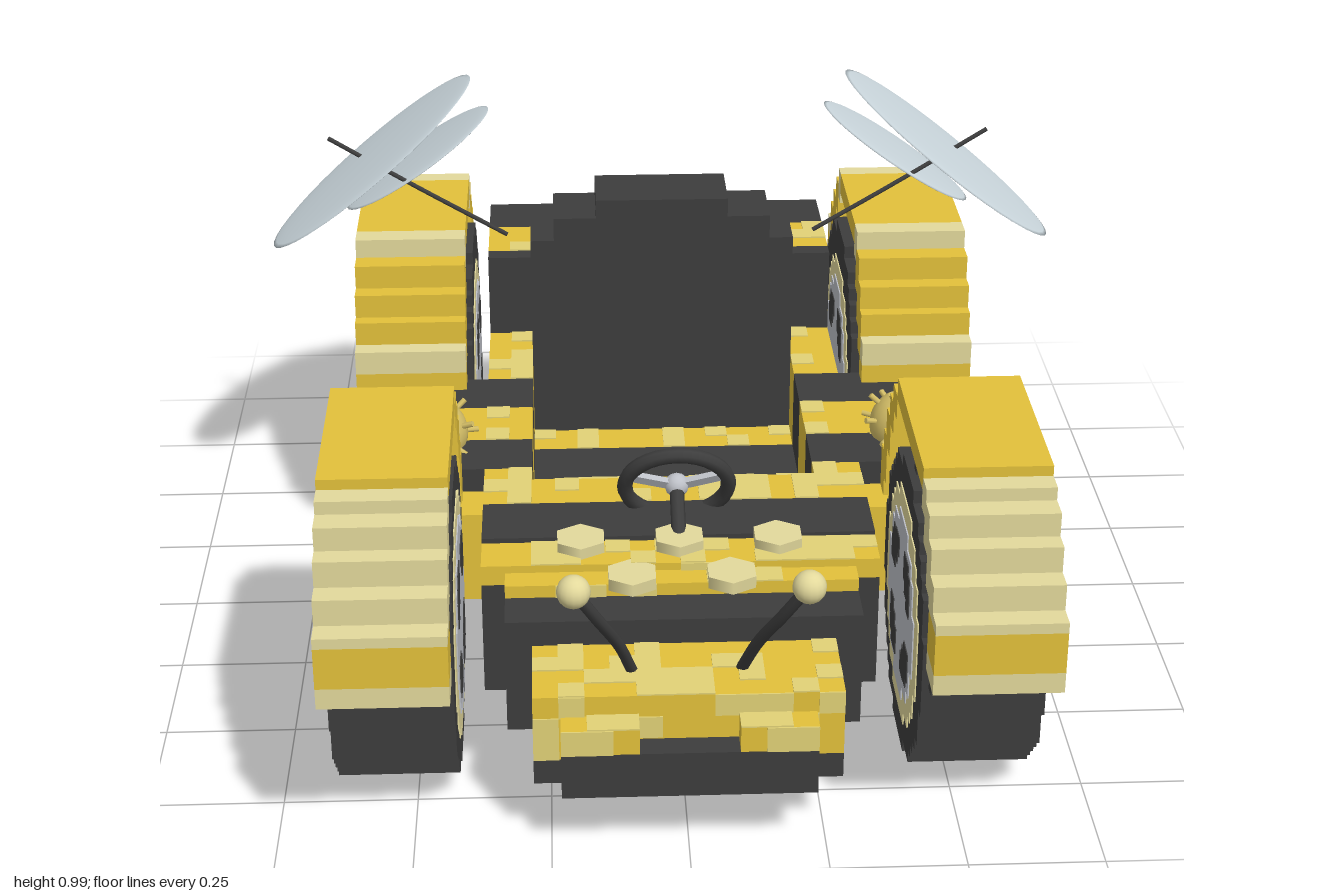
import * as THREE from 'three';
import { mergeGeometries } from 'three/addons/utils/BufferGeometryUtils.js';

const mat = (name, color) => {
  const m = new THREE.MeshStandardMaterial({ color });
  m.name = name;
  return m;
};

export function createModel() {
  const yellow = mat('honey yellow', 0xe3c13b), pale = mat('pale wax yellow', 0xe2d277);
  const cream = mat('cream', 0xe3d99c), black = mat('charcoal', 0x3d3d3d);
  const grey = mat('hub grey', 0xbec1c8), wingMat = mat('wing grey', 0xc9d5db);
  const gold = mat('dull gold', 0xd6c068);
  const root = new THREE.Group();

  const add = (name, geo, m, parent = root) => {
    const mesh = new THREE.Mesh(geo, m);
    mesh.name = name;
    parent.add(mesh);
    return mesh;
  };
  const boxGeo = (x0, x1, y0, y1, z0, z1) =>
    new THREE.BoxGeometry(x1 - x0, y1 - y0, z1 - z0).translate((x0 + x1) / 2, (y0 + y1) / 2, (z0 + z1) / 2);
  const box = (name, m, ...b) => add(name, boxGeo(...b), m);
  const pair = (name, m, x0, x1, ...b) => {
    box(name, m, x0, x1, ...b);
    box(name, m, -x1, -x0, ...b);
  };
  let seed = 7;
  const rnd = () => (seed = (seed * 16807) % 2147483647) / 2147483647;
  // Scattered pale square patches filling a thin plate
  const patches = (x0, x1, y0, y1, z0, z1) => {
    const cells = [], count = d => Math.max(1, Math.round(d / 0.047));
    const nx = count(x1 - x0), ny = count(y1 - y0), nz = count(z1 - z0);
    const dx = (x1 - x0) / nx, dy = (y1 - y0) / ny, dz = (z1 - z0) / nz;
    for (let i = 0; i < nx; i++) for (let j = 0; j < ny; j++) for (let k = 0; k < nz; k++)
      if (rnd() < 0.42) cells.push(boxGeo(x0 + i * dx, x0 + (i + 1) * dx, y0 + j * dy, y0 + (j + 1) * dy, z0 + k * dz, z0 + (k + 1) * dz));
    if (cells.length) add('palePatches', mergeGeometries(cells), pale);
  };
  const topPatches = (x0, x1, z0, z1, y) => patches(x0, x1, y, y + 0.003, z0, z1);
  const frontPatches = (x0, x1, y0, y1, z) => patches(x0, x1, y0, y1, z, z + 0.003);

  // Underbody, cockpit floor and rear block
  box('underbody', black, -0.375, 0.375, 0.13, 0.17, -0.78, 0.58);
  for (const [z0, z1, m] of [[-0.46, -0.22, yellow], [-0.22, -0.08, black], [-0.08, 0.07, yellow], [0.07, 0.2, black], [0.2, 0.25, yellow]]) {
    box('cockpitFloor', m, -0.28, 0.28, 0.17, 0.24, z0, z1);
    pair('cockpitWall', m, 0.28, 0.375, 0.17, 0.41, z0, z1);
    if (m === yellow) {
      topPatches(-0.28, 0.28, z0, z1, 0.24);
      topPatches(0.28, 0.375, z0, z1, 0.41);
      topPatches(-0.375, -0.28, z0, z1, 0.41);
    }
  }
  for (const [z0, z1, m] of [[-0.78, -0.64, black], [-0.64, -0.5, yellow], [-0.5, -0.46, black]])
    box('rearBody', m, -0.375, 0.375, 0.17, 0.59, z0, z1);
  topPatches(-0.375, 0.375, -0.64, -0.5, 0.59);

  // Striped side pods
  for (const [z0, z1, top, m] of [[0.2, 0.3, 0.36, yellow], [0.07, 0.2, 0.41, black], [-0.08, 0.07, 0.41, yellow], [-0.22, -0.08, 0.41, black], [-0.27, -0.22, 0.36, yellow]])
    pair('sidePod', m, 0.375, 0.56, 0.17, top, z0, z1);

  // Stepped seat back
  for (const [w, y0, y1] of [[0.28, 0.24, 0.69], [0.23, 0.69, 0.74], [0.14, 0.74, 0.78]])
    box('seatBack', black, -w, w, y0, y1, -0.46, -0.31);

  // Hood, stepping down to the front
  box('hoodRear', yellow, -0.375, 0.375, 0.17, 0.41, 0.25, 0.35);
  topPatches(-0.375, 0.375, 0.25, 0.35, 0.41);
  box('hoodStripe', black, -0.375, 0.375, 0.17, 0.41, 0.35, 0.49);
  for (const [z0, z1, w, top] of [[0.49, 0.58, 0.375, 0.4], [0.58, 0.63, 0.33, 0.385]]) {
    box('hoodBase', black, -w, w, 0.13, 0.36, z0, z1);
    box('hoodFront', yellow, -w, w, 0.36, top, z0, z1);
    topPatches(-w, w, z0, z1, top);
    frontPatches(-w, w, 0.36, top, z1);
  }
  box('frontStripe', black, -0.33, 0.33, 0.13, 0.36, 0.63, 0.72);

  // Nose and bumper
  box('noseCore', black, -0.28, 0.28, 0.13, 0.18, 0.72, 0.9);
  box('nose', yellow, -0.28, 0.28, 0.18, 0.31, 0.765, 0.9);
  box('noseRear', yellow, -0.28, 0.28, 0.18, 0.31, 0.72, 0.765);
  topPatches(-0.28, 0.28, 0.72, 0.9, 0.31);
  frontPatches(-0.28, 0.28, 0.18, 0.31, 0.9);
  pair('noseTip', yellow, 0.09, 0.23, 0.22, 0.27, 0.9, 0.95);
  for (const x of [0.09, -0.23]) {
    topPatches(x, x + 0.14, 0.9, 0.95, 0.27);
    frontPatches(x, x + 0.14, 0.22, 0.27, 0.95);
  }
  box('bumper', black, -0.23, 0.23, 0.13, 0.22, 0.9, 0.95);

  // Honeycomb plates on the hood
  for (const [x, y, z] of [[0, 0.41, 0.51], [0.187, 0.41, 0.51], [-0.187, 0.41, 0.51], [0.093, 0.39, 0.615], [-0.093, 0.39, 0.615]])
    add('honeycombPlate', new THREE.CylinderGeometry(0.051, 0.051, 0.024, 6).translate(x, y, z), cream);

  // Steering wheel, its top leaning forward
  const steering = new THREE.Group();
  steering.name = 'steeringWheel';
  steering.position.set(0, 0.468, 0.395);
  steering.rotation.x = 0.5;
  root.add(steering);
  add('wheelRim', new THREE.TorusGeometry(0.1, 0.015, 8, 32), black, steering);
  add('wheelHub', new THREE.SphereGeometry(0.024, 12, 8), grey, steering);
  for (const a of [0.35, Math.PI - 0.35, -Math.PI / 2])
    add('wheelSpoke', new THREE.BoxGeometry(0.09, 0.02, 0.012).translate(0.045, 0, 0).rotateZ(a), grey, steering);
  add('steeringColumn', new THREE.CylinderGeometry(0.014, 0.014, 0.12, 8).rotateX(Math.PI / 2).translate(0, 0, 0.06), black, steering);

  // Stepped disc, lying across the x axis
  const steppedDisc = (n, u, thick) => {
    const pts = [], half = j => Math.max(2, Math.round(Math.sqrt(n * n - (j + 0.5) ** 2))) * u;
    for (let j = -n; j < n; j++) pts.push([half(j), j * u], [half(j), (j + 1) * u]);
    const left = pts.map(([x, y]) => [-x, y]).reverse();
    const shape = new THREE.Shape(pts.concat(left).map(p => new THREE.Vector2(...p)));
    return new THREE.ExtrudeGeometry(shape, { depth: thick, bevelEnabled: false }).translate(0, 0, -thick / 2).rotateY(Math.PI / 2);
  };
  const wheel = (side, y, z, r, width) => {
    const g = new THREE.Group();
    g.name = z > 0 ? 'frontWheel' : 'rearWheel';
    g.position.set(side * 0.532, y, z);
    add('tyre', steppedDisc(11, r / 11, width), black, g);
    add('hubRing', steppedDisc(8, 0.0272, width + 0.005), cream, g);
    add('hubDisc', steppedDisc(6, 0.0295, width + 0.01), grey, g);
    for (let i = 0; i < 4; i++) {
      const a = i * Math.PI / 2;
      add('treadNub', new THREE.BoxGeometry(0.2, 0.03, 0.027).translate(0, r + (i === 2 ? -0.015 : 0.012), 0).rotateX(a), black, g);
      // dark openings between the spokes
      for (const [p, q, w, h] of [[0.085, 0.085, 0.06, 0.06], [0.105, 0.065, 0.055, 0.06], [0.06, 0.1, 0.05, 0.04]])
        add('hubOpening', new THREE.BoxGeometry(width + 0.014, w, h).translate(0, p, q).rotateX(a), black, g);
    }
    root.add(g);
  };

  // Stepped fenders: z0, z1, top, bottom, colour
  const frontFender = [
    [0.95, 1, 0.4, 0.36, cream], [0.95, 1, 0.48, 0.4, yellow], [0.95, 1, 0.5, 0.48, cream], [0.91, 0.95, 0.4, 0.36, cream], [0.91, 0.95, 0.48, 0.4, yellow],
    [0.9, 0.955, 0.55, 0.48, cream], [0.86, 0.91, 0.6, 0.5, cream], [0.81, 0.87, 0.645, 0.56, cream], [0.77, 0.82, 0.67, 0.61, cream],
    [0.4, 0.775, 0.69, 0.645, yellow], [0.34, 0.4, 0.65, 0.6, yellow], [0.3, 0.36, 0.61, 0.55, yellow],
    [0.26, 0.32, 0.56, 0.48, yellow], [0.23, 0.28, 0.5, 0.4, yellow], [0.2, 0.25, 0.45, 0.36, yellow]];
  const rearFender = [
    [-0.22, -0.17, 0.5, 0.45, cream], [-0.22, -0.17, 0.45, 0.36, yellow], [-0.26, -0.21, 0.55, 0.45, yellow], [-0.3, -0.24, 0.6, 0.5, yellow],
    [-0.34, -0.28, 0.65, 0.56, yellow], [-0.38, -0.33, 0.69, 0.62, cream], [-0.68, -0.38, 0.69, 0.645, yellow], [-0.72, -0.68, 0.69, 0.62, cream],
    [-0.77, -0.72, 0.65, 0.58, yellow], [-0.82, -0.76, 0.6, 0.53, yellow], [-0.87, -0.8, 0.55, 0.46, yellow],
    [-0.92, -0.86, 0.5, 0.46, cream], [-0.92, -0.86, 0.46, 0.4, yellow], [-0.92, -0.86, 0.4, 0.36, cream]];
  for (const [name, parts] of [['frontFender', frontFender], ['rearFender', rearFender]])
    for (const [z0, z1, top, bottom, m] of parts) pair(name, m, 0.42, 0.652, bottom, top, z0, z1);

  // Lens-shaped elliptical wing, tilted up towards the rear middle
  const wing = (side, center, a, b, turn, slope, pitch) => {
    const geo = new THREE.SphereGeometry(1, 40, 12).scale(a, 0.008, b).rotateY(side * turn);
    const blade = add('wing', geo, wingMat);
    blade.position.set(side * center[0], center[1], center[2]);
    blade.rotation.set(pitch, 0, -side * slope);
  };

  for (const s of [-1, 1]) {
    wheel(s, 0.31, 0.594, 0.28, 0.226);
    wheel(s, 0.3, -0.55, 0.3, 0.246);
    wing(s, [0.612, 0.845, -0.4], 0.28, 0.15, -0.51, 0.605, 0.03);
    wing(s, [0.525, 0.79, -0.56], 0.19, 0.135, -0.35, 0.56, -0.04);
    const tube = (name, pts, r) => add(name, new THREE.TubeGeometry(
      new THREE.CatmullRomCurve3(pts.map(([x, y, z]) => new THREE.Vector3(s * x, y, z))), 16, r, 8), black);
    tube('wingStem', [[0.33, 0.67, -0.4], [0.52, 0.77, -0.43], [0.71, 0.87, -0.47]], 0.005);
    // Antennae
    tube('antennaStem', [[0.1, 0.31, 0.81], [0.125, 0.4, 0.87], [0.165, 0.49, 0.93], [0.2, 0.56, 0.965]], 0.011);
    add('antennaBall', new THREE.SphereGeometry(0.03, 16, 12).translate(s * 0.203, 0.565, 0.968), cream);
    // Spiky pollen balls
    const ball = new THREE.Group();
    ball.name = 'pollenBall';
    ball.position.set(s * 0.48, 0.43, 0.07);
    root.add(ball);
    add('pollenCore', new THREE.SphereGeometry(0.07, 20, 14), gold, ball);
    for (let i = 0; i < 26; i++) {
      const h = 1 - (2 * i + 1) / 26, r = Math.sqrt(1 - h * h), t = i * 2.4;
      const dir = new THREE.Vector3(r * Math.cos(t), h, r * Math.sin(t));
      const spike = add('pollenSpike', new THREE.CylinderGeometry(0.006, 0.006, 0.03, 6), gold, ball);
      spike.position.copy(dir).multiplyScalar(0.077);
      spike.quaternion.setFromUnitVectors(new THREE.Vector3(0, 1, 0), dir);
    }
  }

  // Rear stinger
  add('stinger', new THREE.ConeGeometry(0.06, 0.22, 24).rotateX(-Math.PI / 2).translate(0, 0.44, -0.89), black);
  return root;
}
